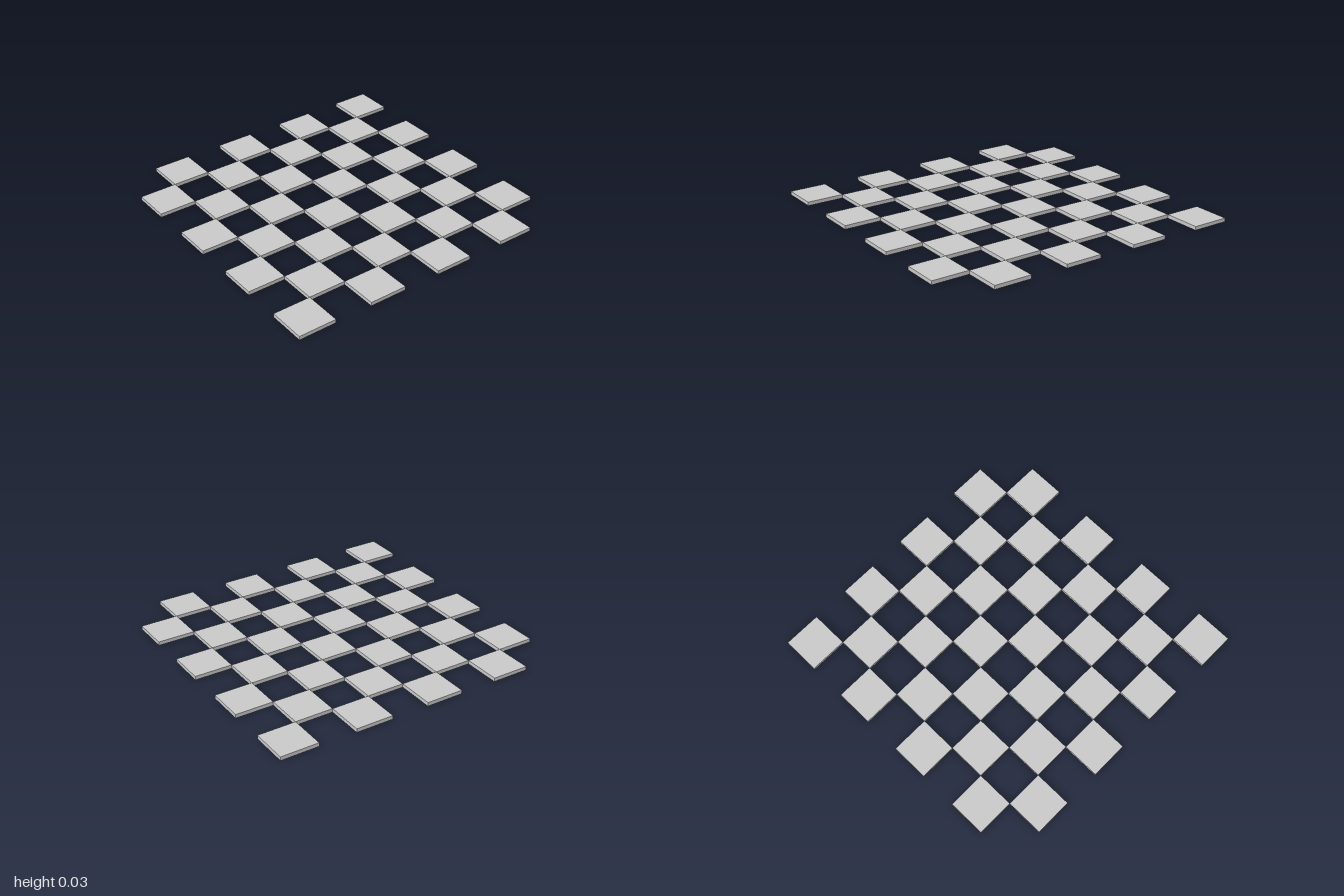
import * as THREE from 'three';

const CELLS = 8;
const SIZE = 2 / CELLS;
const THICKNESS = 0.025;

export function createModel() {
  const board = new THREE.Group();
  board.name = 'checkerboard';
  const material = new THREE.MeshStandardMaterial({ color: 0xcccccc });
  const geometry = new THREE.BoxGeometry(SIZE, THICKNESS, SIZE);

  // Square tiles on alternating cells, the other cells left open
  for (let row = 0; row < CELLS; row++) {
    for (let col = 0; col < CELLS; col++) {
      if ((row + col) % 2 === 0) continue;
      const tile = new THREE.Mesh(geometry, material);
      tile.name = `tile row ${row + 1} column ${col + 1}`;
      tile.position.set(-1 + (col + 0.5) * SIZE, THICKNESS / 2, -1 + (row + 0.5) * SIZE);
      board.add(tile);
    }
  }
  return board;
}
